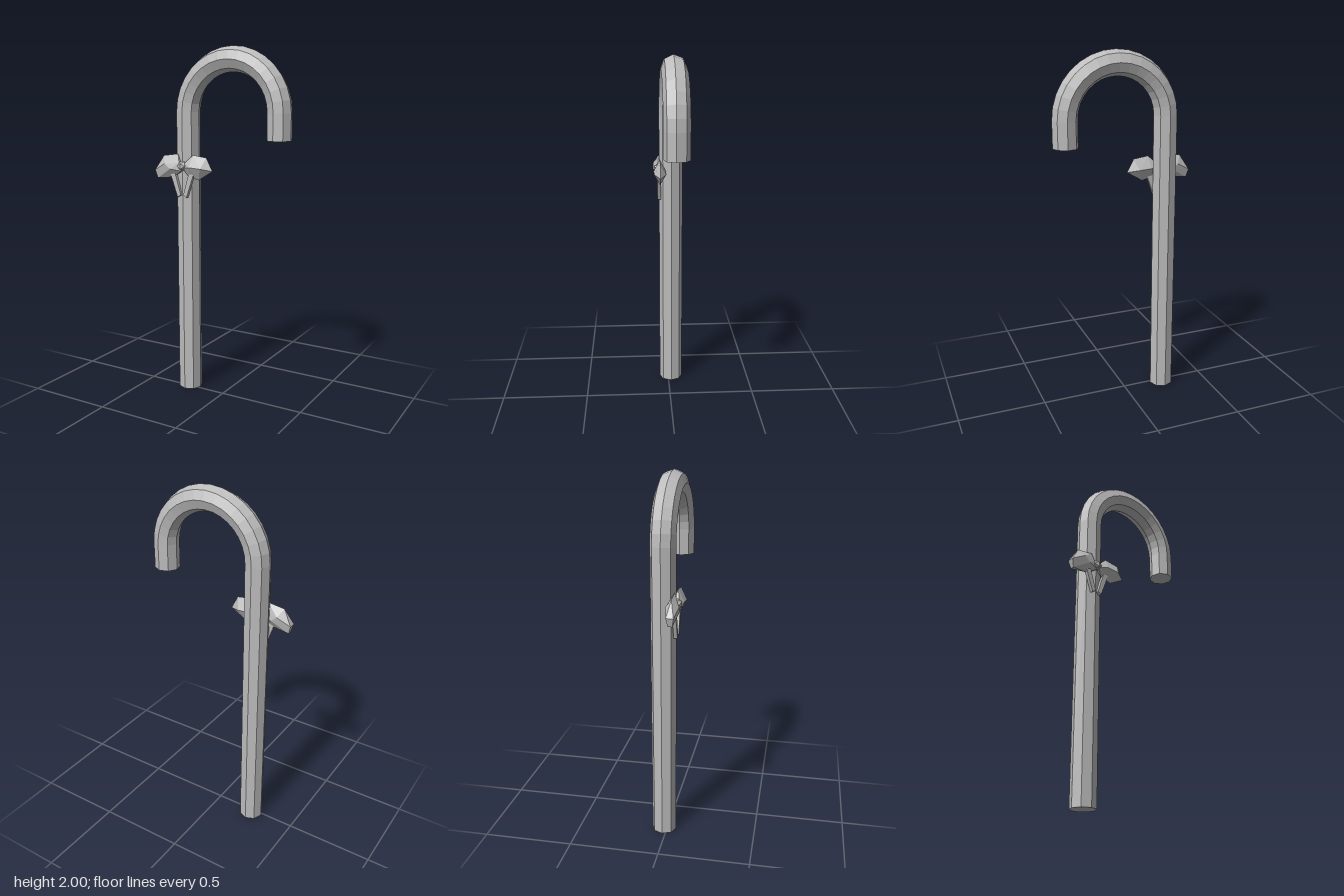
import * as THREE from 'three';
import { ConvexGeometry } from 'three/addons/geometries/ConvexGeometry.js';

const SIDES = 8, R = 0.069, HOOK_R = 0.286, HOOK_X = 0.052, HOOK_Y = 1.645, POLE_Z = -0.017;

// Octagonal rod swept up the shaft, round the hook and down to the tip
function caneGeometry() {
  const sections = [{ t: 0, y: 0 }];
  for (let i = 0; i <= 16; i++) sections.push({ t: i / 16, y: HOOK_Y });
  sections.push({ t: 1, y: 1.5 });
  const pos = [], index = [];
  for (const { t, y } of sections) {
    const angle = Math.PI * (1 - t), nx = Math.cos(angle), ny = Math.sin(angle);
    for (let i = 0; i < SIDES; i++) {
      const a = (i / SIDES) * Math.PI * 2 + t * 0.1; // slight twist along the hook
      const d = HOOK_R + R * Math.cos(a);
      pos.push(HOOK_X + nx * d, y + ny * d, POLE_Z + R * Math.sin(a));
    }
  }
  const last = (sections.length - 1) * SIDES;
  for (let s = 0; s < last; s += SIDES) {
    for (let i = 0; i < SIDES; i++) {
      const a = s + i, b = s + (i + 1) % SIDES;
      index.push(a, b, b + SIDES, a, b + SIDES, a + SIDES);
    }
  }
  // End caps
  for (let i = 1; i < SIDES - 1; i++) {
    index.push(0, i + 1, i, last, last + i, last + i + 1);
  }
  const g = new THREE.BufferGeometry();
  g.setAttribute('position', new THREE.Float32BufferAttribute(pos, 3));
  g.setIndex(index);
  const flat = g.toNonIndexed();
  flat.computeVertexNormals();
  return flat;
}

// Faceted solid from [x, y, half depth] points, mirrored front to back
function facetedGeometry(points, z) {
  const pts = [];
  for (const [x, y, h] of points) {
    pts.push(new THREE.Vector3(x, y, z + h));
    if (h > 0) pts.push(new THREE.Vector3(x, y, z - h));
  }
  return new ConvexGeometry(pts);
}

export function createModel() {
  const group = new THREE.Group();
  const grey = new THREE.MeshStandardMaterial({ color: 0xbcbcbc });
  grey.flatShading = true;
  const add = (name, geometry, parent) => {
    const mesh = new THREE.Mesh(geometry, grey);
    mesh.name = name;
    parent.add(mesh);
    return mesh;
  };

  add('cane', caneGeometry(), group);

  const bow = new THREE.Group();
  bow.name = 'bow';
  group.add(bow);

  // Puffed loops either side of the knot
  add('rightLoop', facetedGeometry([
    [-0.41, 1.315, 0.02], [-0.397, 1.268, 0.012], [-0.36, 1.398, 0], [-0.264, 1.411, 0],
    [-0.30, 1.276, 0], [-0.235, 1.315, 0.012], [-0.25, 1.36, 0.012],
    [-0.335, 1.355, 0.035], [-0.30, 1.325, 0.033],
  ], 0.05), bow);
  add('leftLoop', facetedGeometry([
    [-0.037, 1.322, 0], [-0.076, 1.396, 0], [-0.163, 1.408, 0], [-0.128, 1.268, 0],
    [-0.195, 1.285, 0], [-0.225, 1.33, 0.012], [-0.21, 1.365, 0.012],
    [-0.098, 1.335, 0.035], [-0.172, 1.34, 0.035],
  ], 0.05), bow);

  // Knot
  const knot = add('knot', new THREE.IcosahedronGeometry(0.03, 0), bow);
  knot.position.set(-0.232, 1.343, 0.055);

  // Ribbon tails slanting inwards
  for (const side of [-1, 1]) {
    const tail = [[0.078, 1.3], [0.045, 1.3], [0.008, 1.178], [0.030, 1.165]]
      .map(([x, y]) => [-0.232 + side * x, y, 0.01]);
    add(side < 0 ? 'rightTail' : 'leftTail', facetedGeometry(tail, 0.053), bow);
  }
  return group;
}
